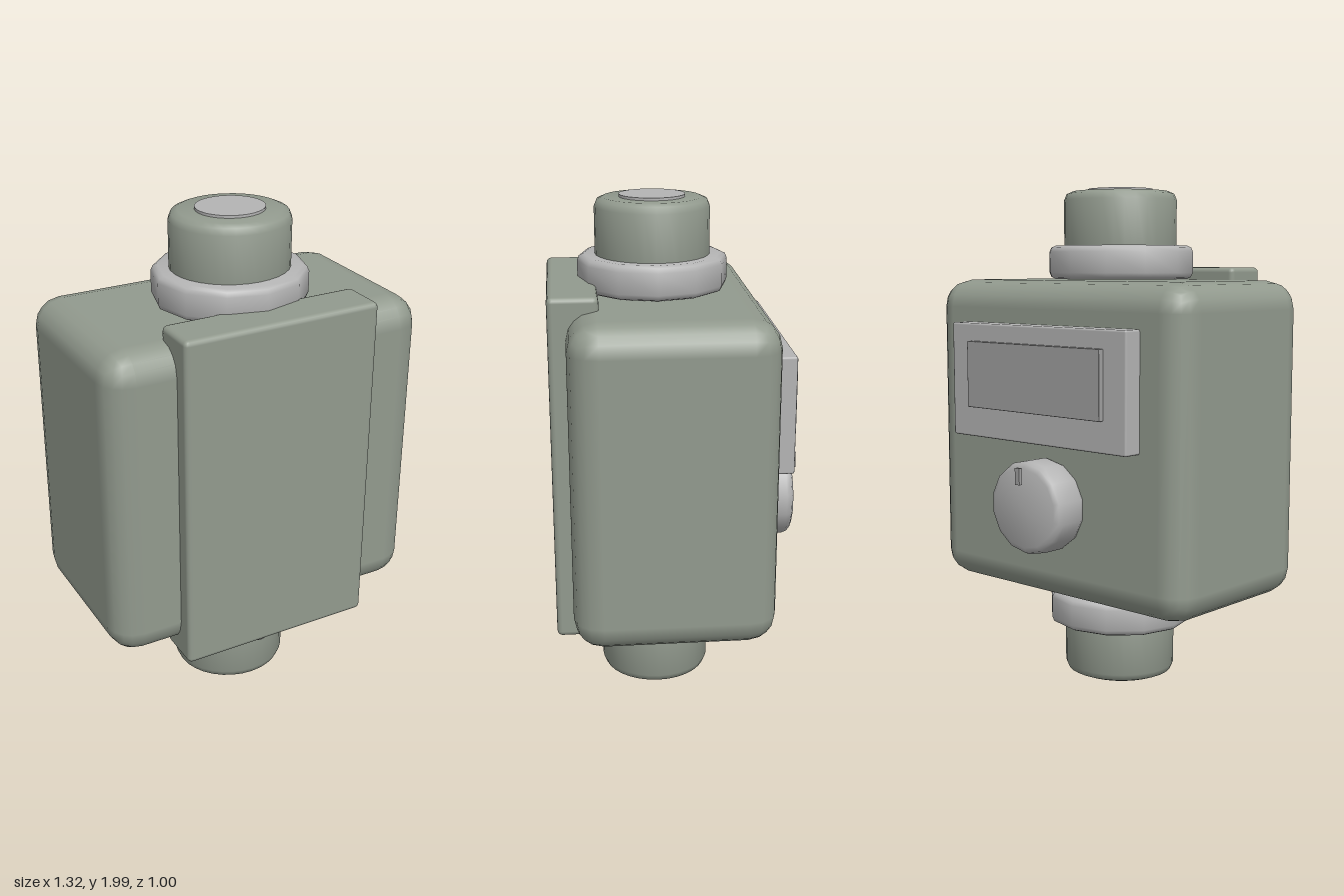
import * as THREE from 'three';
import { RoundedBoxGeometry } from 'three/addons/geometries/RoundedBoxGeometry.js';
import { toCreasedNormals } from 'three/addons/utils/BufferGeometryUtils.js';

const material = (name, color) => {
  const m = new THREE.MeshStandardMaterial({ color });
  m.name = name;
  return m;
};

export function createModel() {
  const group = new THREE.Group();
  const green = material('greyGreen', 0x929a8e);
  const light = material('lightGrey', 0xb4b4b4);
  const grey = material('midGrey', 0xa0a0a0);

  const add = (name, geometry, mat, x = 0, y = 0, z = 0) => {
    const mesh = new THREE.Mesh(geometry, mat);
    mesh.name = name;
    mesh.position.set(x, y, z);
    group.add(mesh);
    return mesh;
  };
  // Rounded box given by half width and its y and z extents
  const block = (name, mat, hx, y0, y1, z0, z1, radius, segments) =>
    add(name, new RoundedBoxGeometry(hx * 2, y1 - y0, z1 - z0, segments, radius),
      mat, 0, (y0 + y1) / 2, (z0 + z1) / 2);
  // Turned part with bevelled rims, centred on its own height
  const turned = (radius, height, bevel, sides) => {
    const h = height / 2, k = bevel * 0.3;
    const profile = [
      [0, -h], [radius - bevel, -h], [radius - k, -h + k], [radius, -h + bevel],
      [radius, h - bevel], [radius - k, h - k], [radius - bevel, h], [0, h],
    ].map(([x, y]) => new THREE.Vector2(x, y));
    return toCreasedNormals(new THREE.LatheGeometry(profile, sides), 0.85);
  };

  // Housing and front cover
  block('housing', green, 0.658, 0.395, 1.64, -0.33, 0.432, 0.11, 2);
  block('frontCover', green, 0.396, 0.347, 1.69, 0.31, 0.497, 0.02, 2);

  // Pipe fittings at both ends
  const cz = 0.088;
  for (const [end, s] of [['top', 1], ['bottom', -1]]) {
    const at = (d) => 1.005 + s * d;
    add(end + 'Collar', turned(0.298, 0.132, 0.025, 12), light, 0, at(0.705), cz).scale.z = 0.97;
    add(end + 'Neck', turned(0.23, 0.34, 0.035, 32), green, 0, at(0.815), cz).scale.z = 0.96;
    add(end + 'Cap', new THREE.CylinderGeometry(0.132, 0.132, 0.03, 32), light, 0, at(0.98), cz).scale.z = 0.96;
  }

  // Rear display
  block('displayFrame', light, 0.464, 1.02, 1.472, -0.405, -0.31, 0.008, 1);
  block('displayScreen', grey, 0.354, 1.14, 1.402, -0.427, -0.395, 0.003, 1);

  // Rear knob and its pointer
  const knob = add('knob', turned(0.192, 0.15, 0.03, 14), light, 0, 0.78, -0.39);
  knob.rotation.x = -Math.PI / 2;
  knob.scale.z = 0.95;
  add('knobPointer', new THREE.BoxGeometry(0.024, 0.064, 0.014), grey, 0, 0.908, -0.491);

  return group;
}
